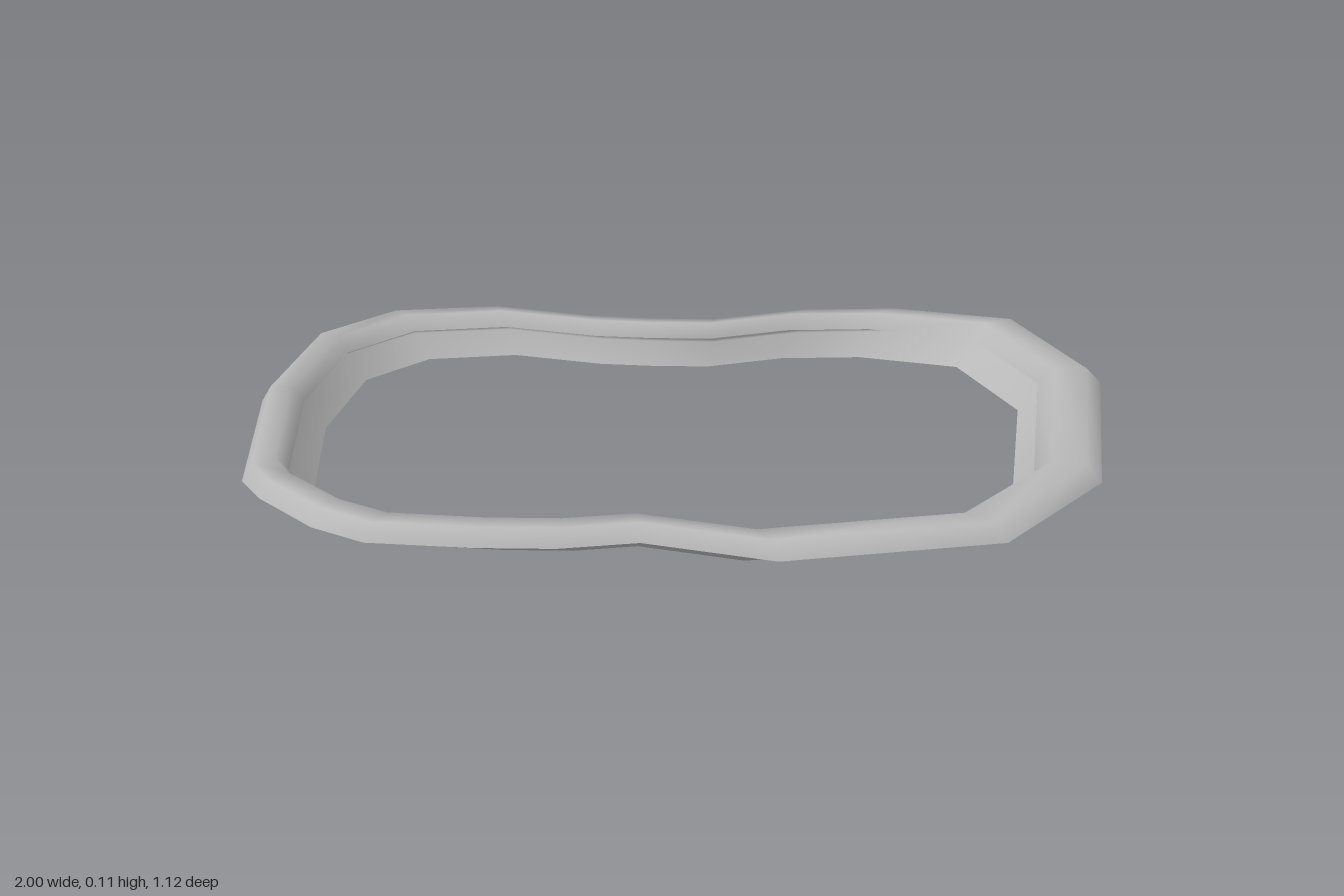
import * as THREE from 'three';

// Plan outlines as [x, z]: outer edge of the rim, and matching bottom edge of the opening
const OUTER = [
  [-0.94, -0.385], [-0.77, -0.525], [-0.505, -0.555], [-0.245, -0.5], [-0.09, -0.488], [0.07, -0.486],
  [0.31, -0.55], [0.555, -0.563], [0.855, -0.505], [1, -0.225], [0.91, 0.24], [0.67, 0.48], [0.2, 0.557],
  [-0.08, 0.495], [-0.25, 0.52], [-0.42, 0.52], [-0.645, 0.505], [-0.765, 0.45], [-0.9, 0.34],
  [-0.955, 0.27], [-1, -0.095],
];
const OPENING = [
  [-0.805, -0.33], [-0.665, -0.447], [-0.445, -0.475], [-0.225, -0.43], [-0.09, -0.421], [0.05, -0.42],
  [0.24, -0.47], [0.44, -0.48], [0.685, -0.43], [0.805, -0.205], [0.73, 0.195], [0.53, 0.39], [0.135, 0.455],
  [-0.09, 0.405], [-0.225, 0.425], [-0.37, 0.425], [-0.56, 0.41], [-0.66, 0.365], [-0.785, 0.265],
  [-0.82, 0.21], [-0.855, -0.085],
];

const scaled = (ring, s) => ring.map(([x, z]) => [x * s, z * s]);
const mix = (a, b, t) => a.map(([x, z], i) => [x + (b[i][0] - x) * t, z + (b[i][1] - z) * t]);

// Skin a closed band through rings given as [outline, height]
function band(name, rings, material) {
  const n = OUTER.length;
  const positions = [];
  const index = [];
  for (const [outline, y] of rings) for (const [x, z] of outline) positions.push(x, y, z);
  for (let j = 0; j < rings.length - 1; j++) {
    for (let i = 0; i < n; i++) {
      const a = j * n + i, b = j * n + ((i + 1) % n);
      index.push(a, a + n, b, b, a + n, b + n);
    }
  }
  const geometry = new THREE.BufferGeometry();
  geometry.setAttribute('position', new THREE.Float32BufferAttribute(positions, 3));
  geometry.setIndex(index);
  geometry.computeVertexNormals();
  const mesh = new THREE.Mesh(geometry, material);
  mesh.name = name;
  return mesh;
}

export function createModel() {
  const group = new THREE.Group();
  group.name = 'borderRing';
  const grey = new THREE.MeshStandardMaterial({ name: 'stone grey', color: 0xb8b8b8, side: THREE.DoubleSide });

  const inner = scaled(OPENING, 1.053);
  const wallTop = scaled(OUTER, 0.915);

  // Bevelled rim on top
  group.add(band('rim', [
    [OUTER, 0.068], [mix(OUTER, inner, 0.25), 0.107], [mix(OUTER, inner, 0.75), 0.107], [inner, 0.068],
  ], grey));

  // Flat underside of the rim
  group.add(band('rimUnderside', [[inner, 0.068], [OUTER, 0.068]], grey));

  // Short collar and sloping wall below the rim
  group.add(band('wall', [[OPENING, 0], [wallTop, 0.058], [scaled(wallTop, 0.99), 0.068]], grey));

  return group;
}
